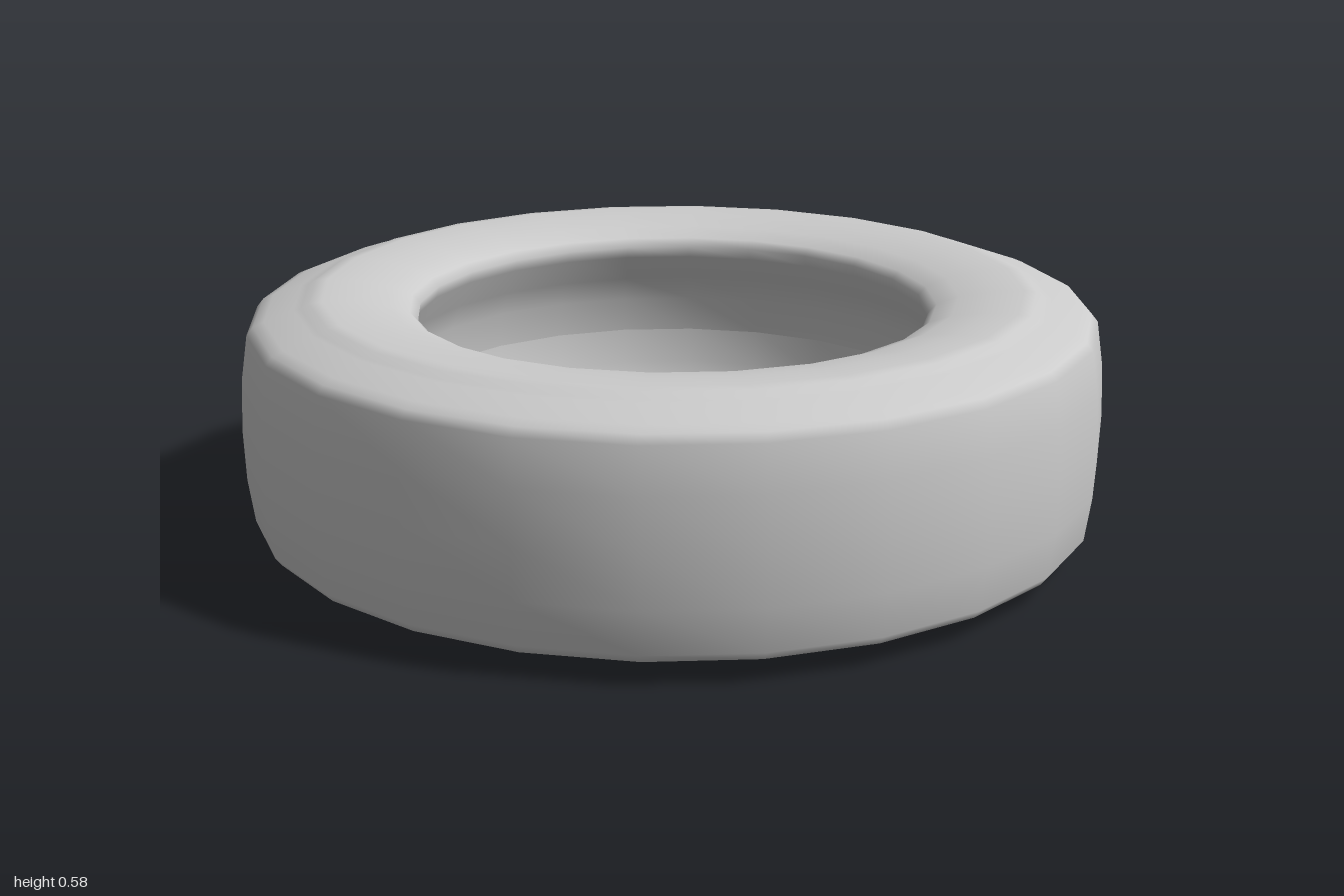
import * as THREE from 'three';

const MID = 0.292; // half the tyre width

// Upper half of the section as [radius, height above mid plane],
// from the tread centre over the shoulder and sidewall to the inside wall.
const HALF = [
  [1.0, 0.0], [0.995, 0.12], [0.98, 0.222], [0.965, 0.241], [0.94, 0.252],
  [0.872, 0.276], [0.856, 0.277], [0.838, 0.289], [0.81, 0.292],
  [0.74, 0.289], [0.66, 0.276], [0.61, 0.257], [0.592, 0.238],
  [0.6, 0.21], [0.635, 0.145], [0.66, 0.085], [0.668, 0.0],
];

export function createModel() {
  const group = new THREE.Group();
  group.name = 'tyre';

  // Closed section: inside wall, down and out along the mirrored lower half, then up and back in.
  const lower = HALF.slice(1).reverse().map(([r, h]) => new THREE.Vector2(r, MID - h));
  const upper = HALF.map(([r, h]) => new THREE.Vector2(r, MID + h));

  // Smooth 24-sided ring, hollow on the inside like a real tyre
  const geometry = new THREE.LatheGeometry([...lower, ...upper], 24);
  const material = new THREE.MeshStandardMaterial({ color: 0xcccccc });
  const body = new THREE.Mesh(geometry, material);
  body.name = 'tyreBody';
  group.add(body);

  return group;
}
